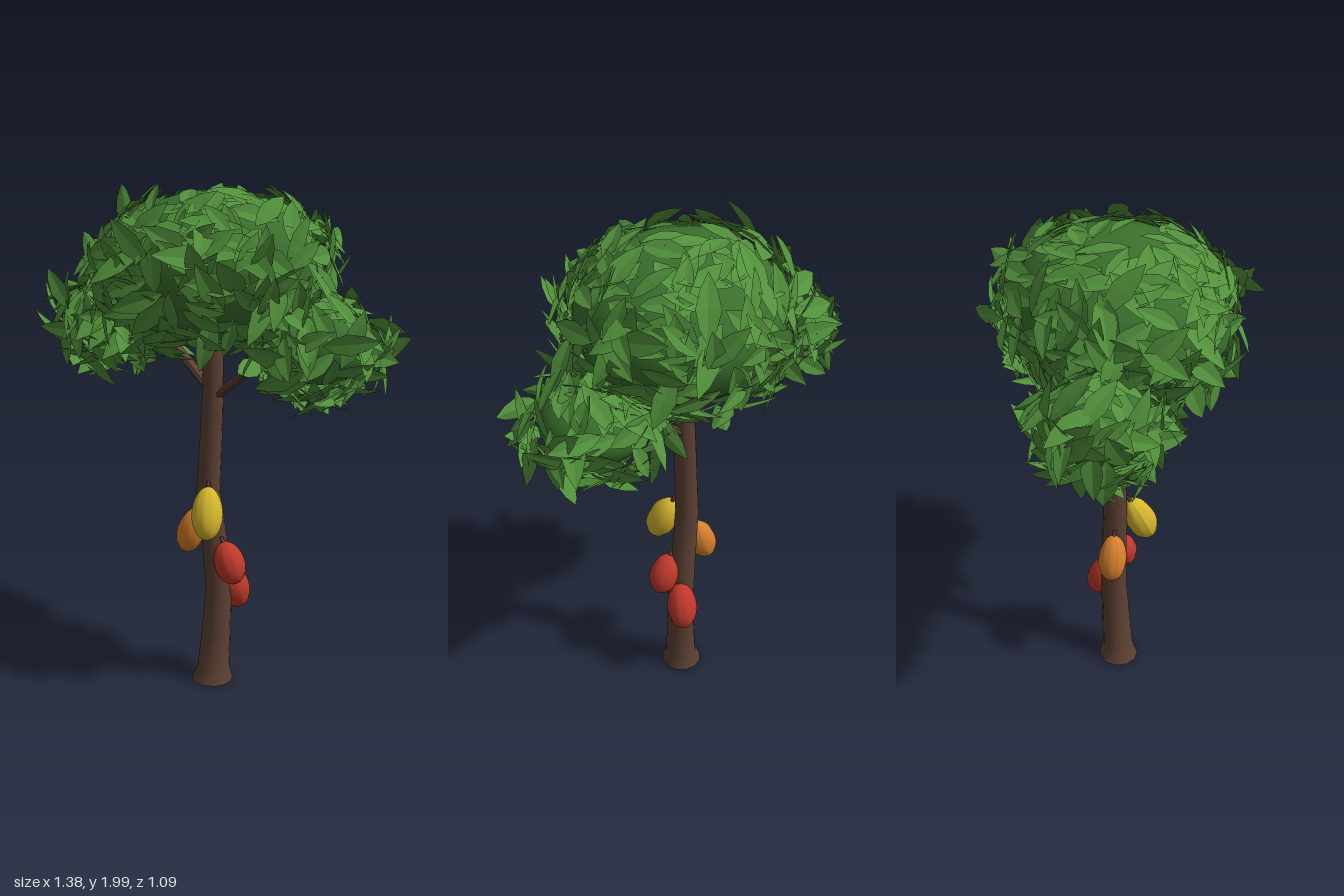
import * as THREE from 'three';
import { mergeGeometries, toCreasedNormals } from 'three/addons/utils/BufferGeometryUtils.js';

const mat = (name, color, side = THREE.FrontSide) => {
  const m = new THREE.MeshStandardMaterial({ color, side });
  m.name = name;
  return m;
};
const V = (x, y, z) => new THREE.Vector3(x, y, z);

// Small seeded generator for leaf placement
function seeded(s) {
  return () => {
    s = (s * 1664525 + 1013904223) >>> 0;
    return s / 4294967296;
  };
}

// Closed tapering limb through rings of [x, y, z, radius]
function limb(rings, sides) {
  const pos = [], index = [];
  rings.forEach(([x, y, z, r]) => {
    for (let i = 0; i < sides; i++) {
      const a = (i / sides) * Math.PI * 2;
      pos.push(x + r * Math.sin(a), y, z + r * Math.cos(a));
    }
  });
  for (let k = 0; k < rings.length - 1; k++) {
    for (let i = 0; i < sides; i++) {
      const j = (i + 1) % sides, a = k * sides, b = a + sides;
      index.push(a + i, a + j, b + j, a + i, b + j, b + i);
    }
  }
  const top = (rings.length - 1) * sides;
  for (let i = 1; i < sides - 1; i++) {
    index.push(0, i + 1, i, top, top + i, top + i + 1);
  }
  const g = new THREE.BufferGeometry();
  g.setAttribute('position', new THREE.Float32BufferAttribute(pos, 3));
  g.setIndex(index);
  return toCreasedNormals(g, 0.8);
}

// Pointed leaf, folded along its midrib and drooping at the tip; lies along +z
function leafGeometry() {
  const stations = [[0, 0], [0.2, 0.65], [0.48, 1], [0.76, 0.65], [1, 0]];
  const pos = [];
  const mid = ([t]) => [0, -0.1 * t * t, t];
  const edge = ([t, w], s) => [s * w * 0.19, -0.1 * t * t + w * 0.04, t];
  for (const s of [1, -1]) {
    for (let k = 0; k < stations.length - 1; k++) {
      const p = stations[k], q = stations[k + 1];
      const a = mid(p), b = mid(q), c = edge(q, s), d = edge(p, s);
      const tris = [];
      if (q[1] > 0) tris.push([a, b, c]);
      if (p[1] > 0) tris.push(q[1] > 0 ? [a, c, d] : [a, b, d]);
      for (const t of tris) pos.push(...(s > 0 ? t : [t[0], t[2], t[1]]).flat());
    }
  }
  const g = new THREE.BufferGeometry();
  g.setAttribute('position', new THREE.Float32BufferAttribute(pos, 3));
  g.computeVertexNormals();
  return g;
}

// Long leaves rooted on an ellipsoid, growing out along its surface;
// they thin out towards the top and stop at the height "lowest" (-1 to 1)
function foliage(center, radii, count, lowest, seed) {
  const rnd = seeded(seed), base = leafGeometry(), list = [];
  for (let i = 0; i < count; i++) {
    const ny = 0.98 - (0.98 - lowest) * ((i + 0.5) / count) ** 0.85;
    const ring = Math.sqrt(1 - ny * ny), a = i * 2.39996 + rnd() * 0.5;
    const unit = V(ring * Math.cos(a), ny, ring * Math.sin(a));
    const at = unit.clone().multiply(radii).add(center);
    const normal = unit.clone().divide(radii).normalize();
    const dir = V(0.3, 0.2, 1).cross(normal).normalize();
    dir.applyAxisAngle(normal, rnd() * Math.PI * 2);
    const high = Math.max(ny, 0) ** 2;
    const lift = 0.8 * rnd() * rnd() * (1 - high) - 0.12 * high;
    dir.addScaledVector(normal, lift).normalize();
    const side = normal.clone().cross(dir).normalize();
    side.applyAxisAngle(dir, (rnd() - 0.5) * 0.7);
    const up = dir.clone().cross(side);
    const len = 0.165 + 0.065 * rnd();
    at.addScaledVector(normal, 0.008 + 0.04 * rnd() * (1 - high)).addScaledVector(dir, -len * 0.1);
    const m = new THREE.Matrix4().makeBasis(side, up, dir).scale(V(len, len, len)).setPosition(at);
    list.push(base.clone().applyMatrix4(m));
  }
  return mergeGeometries(list);
}

// Egg-shaped pod with shallow ribs, narrower towards the stem
function podGeometry(r, h) {
  const g = new THREE.SphereGeometry(1, 30, 18), p = g.attributes.position;
  for (let i = 0; i < p.count; i++) {
    const x = p.getX(i), y = p.getY(i), z = p.getZ(i);
    const k = r * (1 - 0.05 * y) * (1 + 0.025 * Math.cos(10 * Math.atan2(z, x)));
    p.setXYZ(i, x * k, y * h, z * k);
  }
  g.computeVertexNormals();
  return g;
}

export function createModel() {
  const tree = new THREE.Group();
  tree.name = 'fruitTree';
  const bark = mat('bark', 0x5c4033);
  const leafGreen = mat('leafGreen', 0x52913c, THREE.DoubleSide);
  const innerGreen = mat('innerGreen', 0x3b702e);
  const red = mat('redFruit', 0xc0392b);
  const orange = mat('orangeFruit', 0xd67f2c);
  const yellow = mat('yellowFruit', 0xd4b52e);

  const add = (parent, name, geometry, material) => {
    const mesh = new THREE.Mesh(geometry, material);
    mesh.name = name;
    parent.add(mesh);
    return mesh;
  };

  // Trunk with flared foot and gentle bend
  add(tree, 'trunk', limb([
    [-0.047, 0, 0.01, 0.085], [-0.041, 0.055, 0.01, 0.066], [-0.03, 0.2, 0.008, 0.06],
    [-0.018, 0.4, 0.002, 0.054], [-0.036, 0.6, -0.004, 0.051], [-0.06, 0.8, -0.01, 0.048],
    [-0.05, 1.0, -0.008, 0.045], [-0.042, 1.2, -0.005, 0.042], [-0.04, 1.5, 0, 0.036],
  ], 12), bark);

  // Two forking branches
  add(tree, 'leftBranch', limb([[-0.04, 1.18, 0, 0.028], [0.1, 1.31, 0.08, 0.024], [0.24, 1.43, 0.16, 0.02]], 8), bark);
  add(tree, 'rightBranch', limb([[-0.04, 1.2, 0, 0.028], [-0.18, 1.37, -0.09, 0.024], [-0.32, 1.5, -0.17, 0.02]], 8), bark);

  // Leaf masses: name, centre, radii, leaf count, lowest leaf height
  [
    ['crown', V(-0.04, 1.68, 0.01), V(0.405, 0.285, 0.38), 390, -0.82],
    ['leftCluster', V(0.33, 1.41, 0.21), V(0.185, 0.14, 0.19), 150, -0.97],
    ['rightCluster', V(-0.43, 1.485, -0.24), V(0.17, 0.135, 0.175), 150, -0.97],
  ].forEach(([name, center, radii, count, lowest], i) => {
    const mass = new THREE.Group();
    mass.name = name;
    const core = add(mass, name + 'Core', new THREE.SphereGeometry(1, 32, 20), innerGreen);
    core.scale.copy(radii);
    core.position.copy(center);
    add(mass, name + 'Leaves', foliage(center, radii, count, lowest, 17 + i * 101), leafGreen);
    tree.add(mass);
  });

  // Pods hanging from the trunk: name, centre, axis towards stem, radius, half length
  [
    ['yellowPod', V(-0.073, 0.742, 0.096), V(0.08, 1, -0.45), 0.06, 0.105, yellow],
    ['orangePod', V(-0.126, 0.624, -0.054), V(0.25, 1, 0.2), 0.056, 0.097, orange],
    ['upperRedPod', V(0.018, 0.522, 0.062), V(-0.3, 1, -0.2), 0.06, 0.088, red],
    ['lowerRedPod', V(0.046, 0.392, -0.022), V(-0.3, 1, 0.18), 0.06, 0.1, red],
  ].forEach(([name, center, axis, r, h, material]) => {
    const pod = new THREE.Group();
    pod.name = name;
    add(pod, 'podBody', podGeometry(r, h), material);
    const stem = add(pod, 'podStem', new THREE.CylinderGeometry(0.007, 0.009, 0.035, 8), bark);
    stem.position.y = h + 0.005;
    pod.position.copy(center);
    pod.quaternion.setFromUnitVectors(V(0, 1, 0), axis.normalize());
    tree.add(pod);
  });

  return tree;
}
